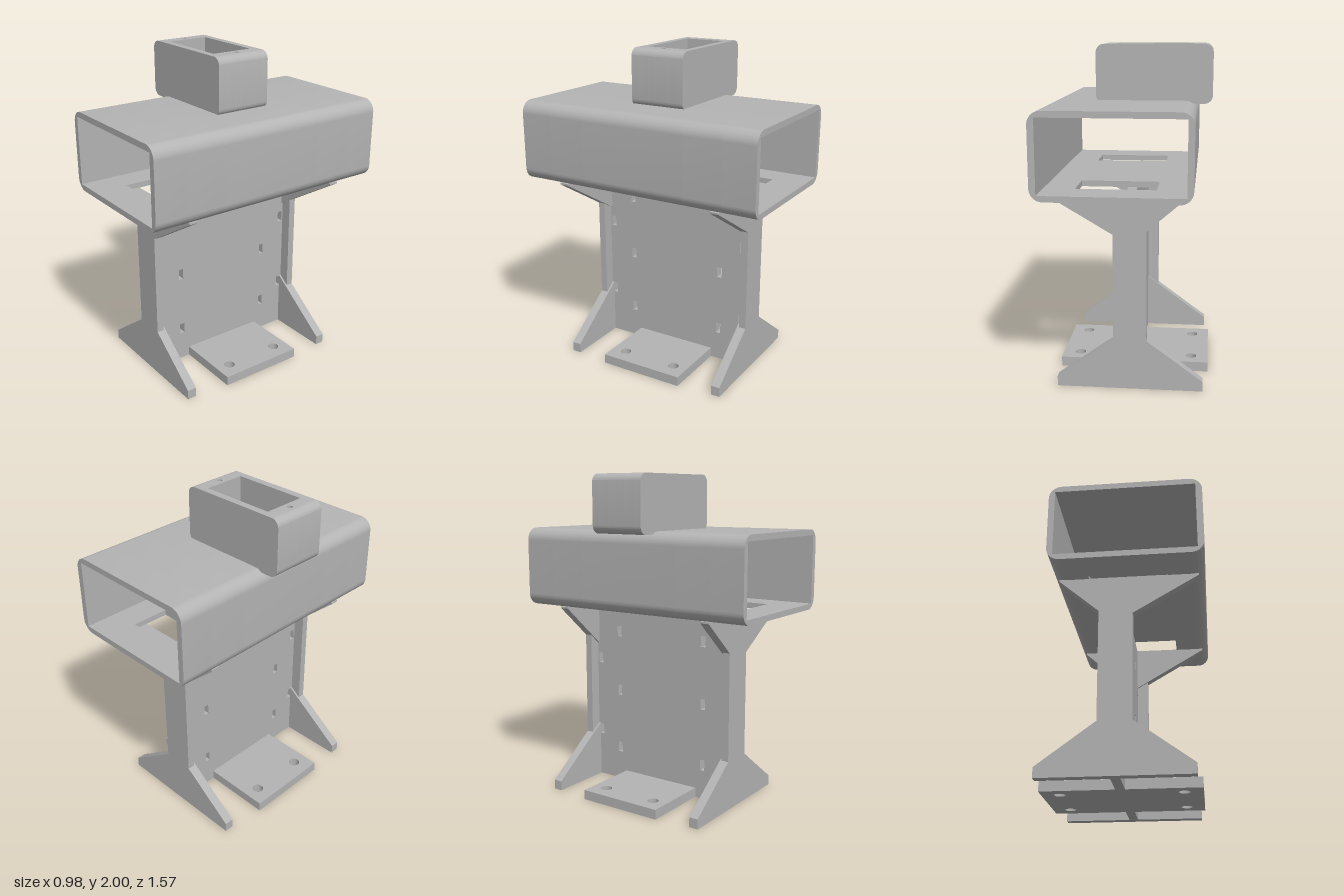
import * as THREE from 'three';
import { toCreasedNormals } from 'three/addons/utils/BufferGeometryUtils.js';

export function createModel() {
  const model = new THREE.Group();
  const grey = new THREE.MeshStandardMaterial({ color: 0xb4b4b4 });
  grey.name = 'light grey';

  function add(name, geometry, parent = model) {
    const mesh = new THREE.Mesh(toCreasedNormals(geometry, 0.5), grey);
    mesh.name = name;
    parent.add(mesh);
    return mesh;
  }
  const polygon = (points) => new THREE.Shape(points.map(([x, y]) => new THREE.Vector2(x, y)));
  const rect = (a, b, c, d) => polygon([[a, c], [b, c], [b, d], [a, d]]);
  const circle = (x, y, r) => new THREE.Path().absarc(x, y, r, 0, Math.PI * 2, true);

  // Extrude an x-y outline from z0 to z1
  function slab(shape, z0, z1) {
    return new THREE.ExtrudeGeometry(shape, { depth: z1 - z0, bevelEnabled: false, curveSegments: 12 })
      .translate(0, 0, z0);
  }
  // Extrude an x-z outline from y0 to y1
  const plate = (shape, y0, y1) => slab(shape, -y1, -y0).rotateX(Math.PI / 2);

  // Rounded outline, with optional extra points cut into its top or bottom edge
  function rounded(x0, x1, y0, y1, r, bottomCut = [], topCut = []) {
    const s = new THREE.Shape();
    const q = Math.PI / 2;
    s.moveTo(x0 + r, y0);
    bottomCut.forEach(([x, y]) => s.lineTo(x, y));
    s.lineTo(x1 - r, y0);
    s.absarc(x1 - r, y0 + r, r, -q, 0, false);
    s.lineTo(x1, y1 - r);
    s.absarc(x1 - r, y1 - r, r, 0, q, false);
    topCut.forEach(([x, y]) => s.lineTo(x, y));
    s.lineTo(x0 + r, y1);
    s.absarc(x0 + r, y1 - r, r, q, 2 * q, false);
    s.lineTo(x0, y0 + r);
    s.absarc(x0 + r, y0 + r, r, 2 * q, 3 * q, false);
    return s;
  }

  // Rectangular sleeve, open at both ends, with two openings in its floor
  const sleeve = new THREE.Group();
  sleeve.name = 'sleeve';
  model.add(sleeve);
  const ring = rounded(-0.4, 0.488, 1.18, 1.672, 0.075);
  ring.holes.push(rect(-0.364, 0.45, 1.215, 1.636));
  const openRing = rounded(-0.4, 0.488, 1.18, 1.672, 0.075, [
    [-0.19, 1.18], [-0.19, 1.215], [-0.364, 1.215], [-0.364, 1.636],
    [0.45, 1.636], [0.45, 1.215], [0.27, 1.215], [0.27, 1.18],
  ]);
  const cuts = [-0.787, -0.58, -0.34, 0.34, 0.58, 0.787];
  for (let i = 0; i < 5; i++) {
    add('sleeveSection', slab(i % 2 ? openRing : ring, cuts[i], cuts[i + 1]), sleeve);
  }

  // Top housing with a deep pocket, a floor slot and two screw holes
  const housing = new THREE.Group();
  housing.name = 'topHousing';
  model.add(housing);
  const slot = [[-0.325, 1.7], [-0.325, 1.675], [-0.37, 1.675]];
  const screw = (x) => [[x + 0.025, 2], [x + 0.025, 1.85], [x - 0.025, 1.85], [x - 0.025, 2]];
  const pocket = (floor) => [[0.09, 2], [0.09, 1.7], ...floor, [-0.37, 2]];
  const layers = [
    [0.13, 0.174, []],
    [0.06, 0.13, pocket([[-0.37, 1.7]])],
    [0.025, 0.06, pocket(slot)],
  ];
  const block = (topCut) => rounded(-0.488, 0.205, 1.655, 2, 0.05, [], topCut);
  for (const [z0, z1, topCut] of layers) {
    add('housingLayer', slab(block(topCut), z0, z1), housing);
    add('housingLayer', slab(block(topCut), -z1, -z0), housing);
  }
  add('housingCore', slab(block([...screw(0.13), ...pocket(slot), ...screw(-0.41)]), -0.025, 0.025), housing);
  for (const x of [-0.41, 0.13]) {
    const boss = rect(x - 0.025, x + 0.025, -0.025, 0.025);
    boss.holes.push(circle(x, 0, 0.016));
    add('screwBoss', plate(boss, 1.85, 2), housing);
  }

  // Central web, drawn in z-y with narrow tie slots
  const web = rect(-0.505, 0.505, 0, 1.18);
  for (const side of [-1, 1]) {
    for (const [z, y] of [[0.322, 1.003], [0.322, 0.61], [0.322, 0.218], [0.48, 0.81], [0.48, 0.318]]) {
      web.holes.push(rect(side * z - 0.016, side * z + 0.016, y - 0.034, y + 0.034));
    }
  }
  add('web', slab(web, -0.0275, 0.0275).rotateY(-Math.PI / 2).translate(-0.033, 0, 0));

  // End legs, each with flared foot and head, and gussets reaching in to the web
  const leg = polygon([
    [-0.465, 0], [0.4, 0], [0.4, 0.06], [0.065, 0.305], [0.065, 0.945], [0.45, 1.172], [0.45, 1.182],
    [-0.365, 1.182], [-0.365, 1.172], [-0.131, 0.968], [-0.131, 0.305], [-0.465, 0.06],
  ]);
  const gussets = {
    footGussetLeft: [[-0.01, 0], [0.4, 0], [0.4, 0.06], [-0.01, 0.36]],
    footGussetRight: [[-0.465, 0], [-0.056, 0], [-0.056, 0.36], [-0.465, 0.06]],
    headGussetLeft: [[-0.01, 0.901], [0.45, 1.172], [0.45, 1.182], [-0.01, 1.182]],
    headGussetRight: [[-0.056, 0.903], [-0.056, 1.182], [-0.365, 1.182], [-0.365, 1.172]],
  };
  for (const [name, front] of [['frontLeg', true], ['backLeg', false]]) {
    const group = new THREE.Group();
    group.name = name;
    model.add(group);
    const span = (a, b) => (front ? [a, b] : [-b, -a]);
    add('legPlate', slab(leg, ...span(0.505, 0.55)), group);
    for (const [part, points] of Object.entries(gussets)) {
      add(part, slab(polygon(points), ...span(0.493, 0.505)), group);
    }
  }

  // Base plate with four mounting holes
  const base = rect(-0.492, 0.425, -0.273, 0.273);
  for (const x of [-0.386, 0.32]) {
    for (const z of [-0.18, 0.18]) base.holes.push(circle(x, z, 0.034));
  }
  add('basePlate', plate(base, 0, 0.06));

  return model;
}
